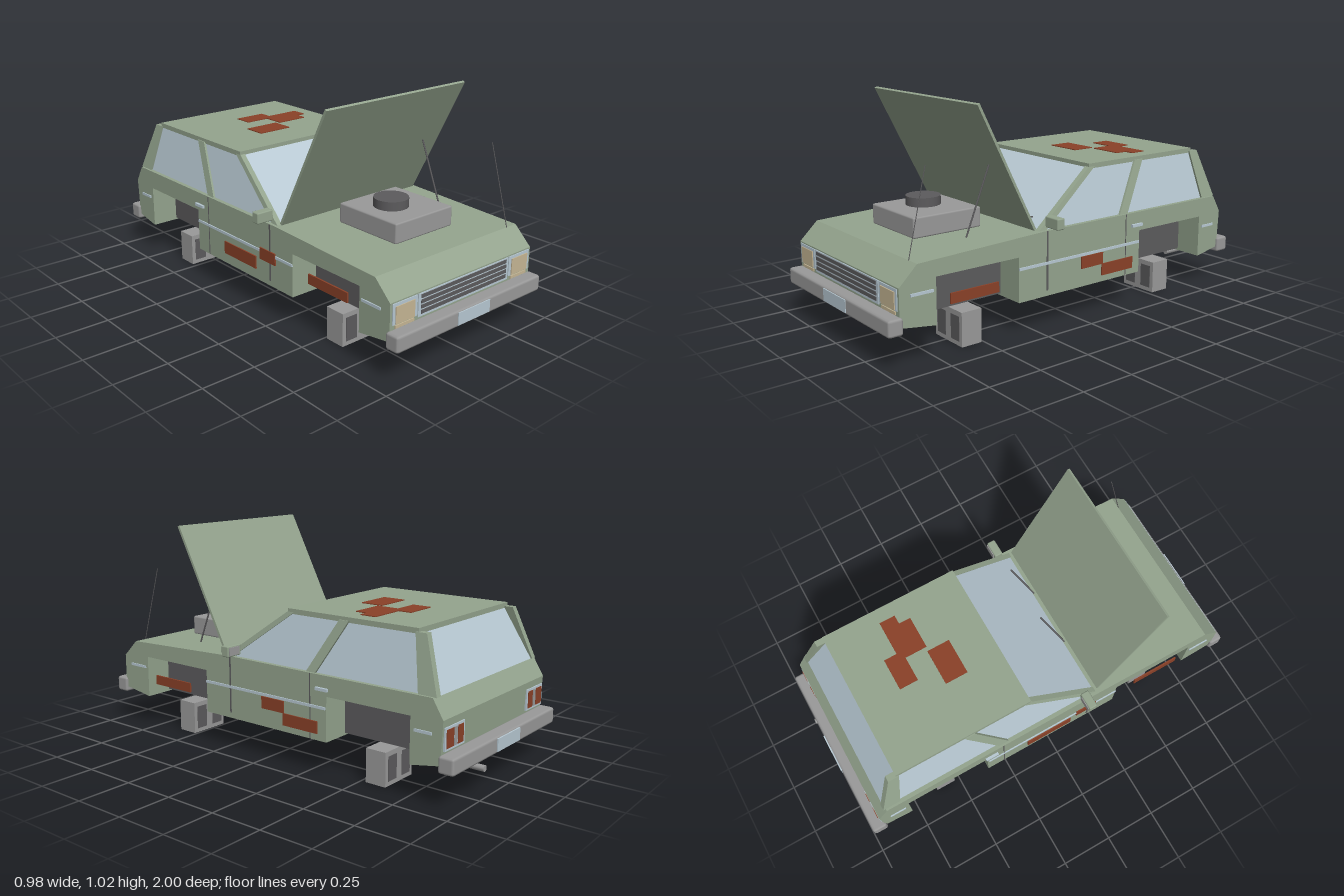
import * as THREE from 'three';
import { RoundedBoxGeometry } from 'three/addons/geometries/RoundedBoxGeometry.js';

const mat = (name, color) => {
  const m = new THREE.MeshStandardMaterial({ color });
  m.name = name;
  return m;
};

export function createModel() {
  const green = mat('sage paint', 0x94a48e);
  const glass = mat('pale blue glass', 0xb8c9d3);
  const gray = mat('gray metal', 0x999999);
  const dark = mat('dark gray', 0x5c5b5d);
  const rust = mat('rust', 0x8a4128);
  const tan = mat('tan lamp', 0xc6b694);

  const car = new THREE.Group();
  car.name = 'car';

  const add = (name, geo, material) => {
    const m = new THREE.Mesh(geo, material);
    m.name = name;
    car.add(m);
    return m;
  };
  // Box given by its limits on each axis
  const box = (name, material, x0, x1, y0, y1, z0, z1, r = 0) => {
    const s = [x1 - x0, y1 - y0, z1 - z0];
    const geo = r ? new RoundedBoxGeometry(...s, 1, r) : new THREE.BoxGeometry(...s);
    const m = add(name, geo, material);
    m.position.set((x0 + x1) / 2, (y0 + y1) / 2, (z0 + z1) / 2);
    return m;
  };
  // Same box on both sides, limits given for +x
  const pair = (name, material, x0, x1, ...rest) => {
    box(name + 'Left', material, x0, x1, ...rest);
    box(name + 'Right', material, -x1, -x0, ...rest);
  };
  // Round bar between two points
  const rod = (name, material, a, b, r, sides = 6) => {
    const p = new THREE.Vector3(...a), q = new THREE.Vector3(...b);
    const d = q.clone().sub(p);
    const m = add(name, new THREE.CylinderGeometry(r, r, d.length(), sides), material);
    m.position.copy(p).add(q).multiplyScalar(0.5);
    m.quaternion.setFromUnitVectors(new THREE.Vector3(0, 1, 0), d.normalize());
    return m;
  };
  // Solid with a four-sided base and top: [x0, x1, z0, z1] corners may slant
  const solid = (name, material, bottom, top) => {
    const p = [...bottom, ...top];
    const faces = [[3, 2, 1, 0], [4, 5, 6, 7]];
    for (let i = 0; i < 4; i++) {
      const j = (i + 1) % 4;
      faces.push([i, j, j + 4, i + 4]);
    }
    const pos = faces.flatMap(([a, b, c, d]) => [a, b, c, a, c, d].flatMap((k) => p[k]));
    const geo = new THREE.BufferGeometry();
    geo.setAttribute('position', new THREE.Float32BufferAttribute(pos, 3));
    geo.computeVertexNormals();
    return add(name, geo, material);
  };
  const quad = (y, x0, x1, z0, z1) => [[x0, y, z1], [x1, y, z1], [x1, y, z0], [x0, y, z0]];

  // Lower body: side profile with wheel cutouts, extruded across the width
  const W = 0.43;
  const profile = [
    [0.94, 0.18], [0.94, 0.343], [0.855, 0.425], [0.22, 0.447], [-0.88, 0.447],
    [-0.93, 0.365], [-0.92, 0.18], [-0.78, 0.155], [-0.78, 0.357], [-0.36, 0.357],
    [-0.36, 0.155], [0.355, 0.155], [0.355, 0.357], [0.77, 0.357], [0.77, 0.155],
  ];
  const shape = new THREE.Shape(profile.map((p) => new THREE.Vector2(...p)));
  const bodyGeo = new THREE.ExtrudeGeometry(shape, { depth: 2 * W, bevelEnabled: false });
  bodyGeo.translate(0, 0, -W).rotateY(-Math.PI / 2);
  add('body', bodyGeo, green);
  box('frontWheelWell', dark, -0.3, 0.3, 0.165, 0.356, 0.356, 0.769);
  box('rearWheelWell', dark, -0.3, 0.3, 0.165, 0.356, -0.779, -0.361);

  // Cabin glass, roof and pillars
  solid('cabinGlass', glass, quad(0.446, -0.41, 0.41, -0.885, 0.23), quad(0.68, -0.36, 0.36, -0.765, -0.1));
  box('roof', green, -0.365, 0.365, 0.672, 0.695, -0.77, -0.095);
  const pillar = (name, b0, b1, t0, t1, out = 0.01) => {
    for (const s of [1, -1]) {
      const span = (x, y, z0, z1) =>
        quad(y, Math.min(s * x, s * (x + 0.02 + out)), Math.max(s * x, s * (x + 0.02 + out)), z0, z1);
      solid(name + (s > 0 ? 'Left' : 'Right'), green, span(0.39, 0.446, b0, b1), span(0.34, 0.68, t0, t1));
    }
  };
  pillar('frontPillar', 0.195, 0.236, -0.13, -0.092, 0.005);
  pillar('middlePillar', -0.29, -0.24, -0.43, -0.38);
  pillar('rearPillar', -0.892, -0.806, -0.81, -0.757);

  // Raised hood with its prop
  const hood = add('hood', new THREE.BoxGeometry(0.815, 0.631, 0.012), green);
  hood.position.set(0, 0.735, 0.395);
  hood.rotation.x = Math.atan2(0.29, 0.56);
  rod('hoodProp', dark, [0.295, 0.445, 0.53], [0.295, 0.74, 0.41], 0.004);
  rod('antenna', dark, [0.368, 0.425, 0.855], [0.354, 0.79, 0.76], 0.002);

  // Engine air cleaner
  box('airCleaner', gray, -0.172, 0.172, 0.44, 0.532, 0.365, 0.71, 0.008);
  rod('airCleanerCap', dark, [-0.027, 0.53, 0.535], [-0.027, 0.573, 0.535], 0.078, 20);

  // Bumpers, plates and exhaust
  box('frontBumper', gray, -0.443, 0.443, 0.152, 0.226, 0.928, 0.997, 0.012);
  box('rearBumper', gray, -0.443, 0.443, 0.152, 0.226, -0.988, -0.915, 0.012);
  box('frontPlate', glass, -0.098, 0.098, 0.162, 0.218, 0.994, 1.0);
  box('rearPlate', glass, -0.098, 0.098, 0.162, 0.218, -0.993, -0.985);
  rod('exhaust', gray, [0.215, 0.127, -0.78], [0.215, 0.127, -1], 0.014, 10);

  // Grille and headlamps
  box('grilleFrame', glass, -0.277, 0.277, 0.237, 0.337, 0.938, 0.944);
  for (let i = 0; i < 4; i++) {
    const y = 0.324 - i * 0.0225;
    box('grilleSlot', dark, -0.262, 0.262, y - 0.008, y + 0.008, 0.94, 0.947);
  }
  pair('headlampFrame', glass, 0.282, 0.418, 0.247, 0.337, 0.938, 0.944);
  pair('headlamp', tan, 0.299, 0.404, 0.25, 0.324, 0.94, 0.948);
  pair('frontIndicator', tan, 0.299, 0.404, 0.23, 0.243, 0.938, 0.945);

  // Tail lamps
  pair('tailLampFrame', glass, 0.27, 0.418, 0.237, 0.333, -0.933, -0.924);
  pair('tailLampOuter', rust, 0.356, 0.408, 0.247, 0.323, -0.936, -0.928);
  pair('tailLampMiddle', gray, 0.328, 0.35, 0.247, 0.323, -0.936, -0.928);
  pair('tailLampInner', rust, 0.282, 0.322, 0.247, 0.323, -0.936, -0.928);

  // Side trim, handles and door seams
  for (const [z0, z1] of [[0.785, 0.89], [-0.355, 0.355], [-0.88, -0.8]]) {
    pair('sideTrim', glass, W - 0.002, W + 0.005, 0.298, 0.31, z0, z1);
  }
  pair('doorHandle', glass, W - 0.002, W + 0.012, 0.38, 0.393, -0.37, -0.305);
  pair('frontDoorSeam', dark, W - 0.002, W + 0.002, 0.18, 0.446, 0.196, 0.204);
  pair('rearDoorSeam', dark, W - 0.002, W + 0.002, 0.156, 0.446, -0.273, -0.269);

  // Mirrors
  pair('mirror', green, 0.405, 0.49, 0.457, 0.508, 0.153, 0.195, 0.006);
  pair('mirrorFace', gray, 0.42, 0.482, 0.464, 0.501, 0.149, 0.155);

  // Wipers resting on the windshield
  for (const x of [-0.13, 0.16]) {
    rod('wiper', dark, [x, 0.453, 0.234], [x + 0.155, 0.485, 0.19], 0.004);
  }

  // Rust patches on the roof and both sides
  const roofRust = [
    [-0.03, 0.125, -0.575, -0.485], [0.09, 0.295, -0.512, -0.435],
    [0.09, 0.25, -0.435, -0.378], [-0.108, 0.068, -0.385, -0.275],
  ];
  for (const [x0, x1, z0, z1] of roofRust) box('roofRust', rust, x0, x1, 0.692, 0.699, z0, z1);
  const leftRust = [[0.23, 0.275, 0.465, 0.705], [0.24, 0.295, -0.125, 0.005], [0.185, 0.24, -0.313, -0.12]];
  const rightRust = [[0.26, 0.305, 0.465, 0.705], [0.265, 0.32, 0.13, 0.24], [0.205, 0.265, -0.14, 0.1]];
  for (const r of leftRust) box('leftRust', rust, W - 0.002, W + 0.006, ...r);
  for (const r of rightRust) box('rightRust', rust, -W - 0.006, -W + 0.002, ...r);

  // Hollow support blocks in place of wheels
  for (const z of [0.56, -0.575]) {
    pair('supportBlock', gray, 0.173, 0.37, 0, 0.152, z - 0.05, z + 0.05);
    for (const x of [0.19, 0.29]) {
      pair('blockHollow', dark, x, x + 0.061, 0.02, 0.13, z - 0.052, z + 0.052);
    }
  }
  return car;
}
